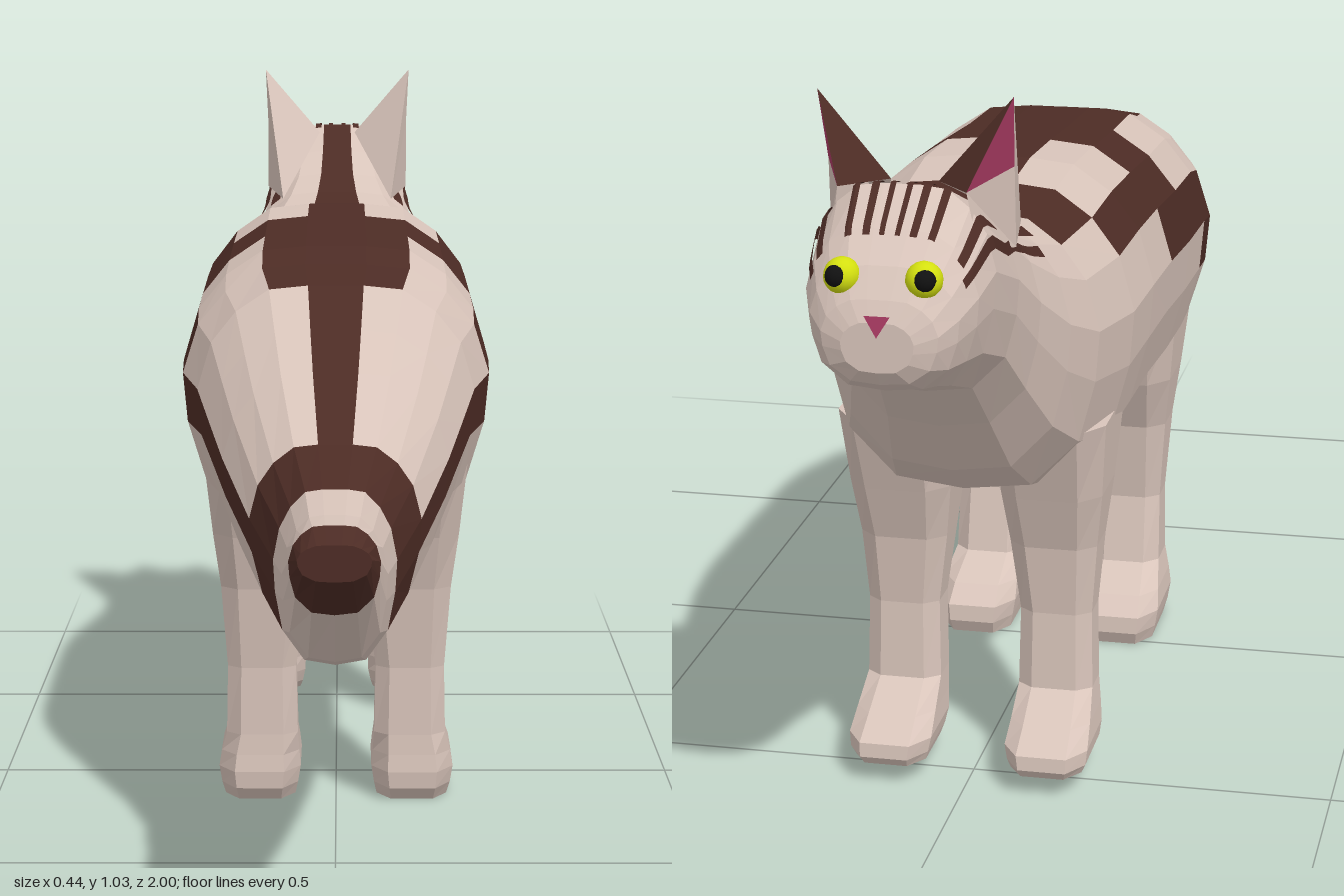
import * as THREE from 'three';

const mat = (color, side = THREE.FrontSide) =>
  new THREE.MeshStandardMaterial({ color, flatShading: true, side });
const FUR = mat(0xd8c4ba), BROWN = mat(0x4d2c25), PINK = mat(0xa83a62);
const STRIPE = mat(0x4d2c25, THREE.DoubleSide);
const YELLOW = new THREE.MeshStandardMaterial({ color: 0xd4e010 });
const BLACK = new THREE.MeshStandardMaterial({ color: 0x111111 });

// body stations from tail tip to muzzle: z, top, bottom, half width
const STATIONS = [
  [1.0, 0.535, 0.49, 0.045], [0.95, 0.55, 0.44, 0.056], [0.85, 0.545, 0.36, 0.066],
  [0.69, 0.55, 0.32, 0.08], [0.54, 0.585, 0.335, 0.115], [0.42, 0.665, 0.37, 0.155],
  [0.35, 0.715, 0.39, 0.175], [0.28, 0.77, 0.405, 0.195], [0.18, 0.79, 0.4, 0.22],
  [0.11, 0.81, 0.395, 0.222], [-0.03, 0.818, 0.4, 0.222], [-0.18, 0.83, 0.41, 0.22],
  [-0.32, 0.838, 0.41, 0.218], [-0.43, 0.83, 0.405, 0.21], [-0.55, 0.82, 0.435, 0.185],
  [-0.62, 0.835, 0.485, 0.16], [-0.69, 0.86, 0.57, 0.135], [-0.76, 0.895, 0.64, 0.122],
  [-0.86, 0.935, 0.675, 0.115], [-0.92, 0.895, 0.695, 0.107], [-0.96, 0.86, 0.705, 0.092],
  [-0.985, 0.825, 0.72, 0.072], [-0.997, 0.8, 0.738, 0.045],
];
// half cross-section from spine to belly, as fractions of width and height
const SECTION = [[0, 1], [0.2, 1], [0.48, 0.985], [0.72, 0.9], [0.9, 0.78],
  [1, 0.6], [0.97, 0.42], [0.85, 0.2], [0.5, 0.03], [0, 0]];
const COLS = SECTION.length - 1;

const place = ([z, top, bottom, w], [fx, fy]) => [fx * w, bottom + fy * (top - bottom), z];
const mix = (a, b, t) => a.map((v, i) => v + (b[i] - v) * t);

function mesh(name, points, material) {
  const g = new THREE.BufferGeometry();
  g.setAttribute('position', new THREE.Float32BufferAttribute(points.flat(), 3));
  g.computeVertexNormals();
  const m = new THREE.Mesh(g, material);
  m.name = name;
  return m;
}

// skins a row of rings with closed ends; pick(segment, column) chooses the target list
function loft(rings, pick) {
  const n = rings[0].length;
  for (let i = 0; i < rings.length - 1; i++) {
    for (let j = 0; j < n; j++) {
      const k = (j + 1) % n, [p, q] = [rings[i], rings[i + 1]];
      pick(i, j).push(p[j], p[k], q[k], p[j], q[k], q[j]);
    }
  }
  const cap = (ring, seg, flip) => {
    const c = [0, 1, 2].map(a => ring.reduce((s, p) => s + p[a], 0) / n);
    for (let j = 0; j < n; j++) {
      const k = (j + 1) % n;
      pick(seg, j).push(c, ring[flip ? k : j], ring[flip ? j : k]);
    }
  };
  cap(rings[0], 0, true);
  cap(rings.at(-1), rings.length - 2, false);
}

// which columns of the coat are brown at a given z
function isBrown(z, col) {
  const within = (hi, lo) => z < hi && z > lo;
  if (z > 0.95 || within(0.69, 0.54)) return true;
  switch (col) {
    case 0: return within(0.54, -0.86);
    case 1: return within(0.28, -0.18) || within(-0.43, -0.55);
    case 2: return within(-0.03, -0.18) || within(-0.43, -0.55);
    case 3: return within(-0.03, -0.43);
    case 4: return within(0.18, -0.18);
    case 5: return within(0.54, 0.11);
    default: return false;
  }
}

function makeBody() {
  const rings = STATIONS.map(s => {
    const half = SECTION.map(f => place(s, f));
    return [...half, ...half.slice(1, -1).reverse().map(([x, y, z]) => [-x, y, z])];
  });
  const fur = [], brown = [];
  loft(rings, (i, j) => {
    const z = (STATIONS[i][0] + STATIONS[i + 1][0]) / 2;
    return isBrown(z, j < COLS ? j : 2 * COLS - 1 - j) ? brown : fur;
  });
  return [mesh('bodyFur', fur, FUR), mesh('bodyMarkings', brown, BROWN)];
}

// point just above the coat at z and section column u
function onCoat(z, u, side) {
  let i = 0;
  while (i < STATIONS.length - 2 && STATIONS[i + 1][0] > z) i++;
  const [a, b] = [STATIONS[i], STATIONS[i + 1]];
  const s = mix(a, b, (z - a[0]) / (b[0] - a[0]));
  const c = Math.min(Math.floor(u), COLS - 1);
  const [x, y] = place(s, mix(SECTION[c], SECTION[c + 1], u - c));
  const mid = (s[1] + s[2]) / 2;
  return [side * x * 1.035, mid + (y - mid) * 1.035, z];
}

// thin face stripe following [z, u] points
function stripe(path, width, side) {
  const pts = [], steps = 8;
  for (let i = 0; i < path.length - 1; i++) {
    for (let k = 0; k < steps; k++) {
      const p = mix(path[i], path[i + 1], k / steps), q = mix(path[i], path[i + 1], (k + 1) / steps);
      for (const [lo, hi] of [[-width, 0], [0, width]]) {
        const [a, b, c, d] = [[p, lo], [p, hi], [q, hi], [q, lo]]
          .map(([[z, u], o]) => onCoat(z, Math.max(0, u + o), side));
        pts.push(a, b, c, a, c, d);
      }
    }
  }
  return mesh('faceStripe', pts, STRIPE);
}

// leg rings from hip to sole: y, back z, front z, inner x, outer x
const HIND_LEG = [
  [0.52, 0.27, 0.0, 0.03, 0.19], [0.4, 0.22, 0.04, 0.03, 0.178], [0.32, 0.197, 0.078, 0.042, 0.167],
  [0.2, 0.18, 0.095, 0.058, 0.158], [0.1, 0.18, 0.075, 0.056, 0.16], [0.07, 0.182, 0.01, 0.054, 0.168],
  [0.045, 0.185, -0.02, 0.052, 0.172], [0.02, 0.182, -0.022, 0.056, 0.168], [0, 0.165, -0.012, 0.06, 0.163],
];
const FRONT_LEG = [
  [0.52, -0.31, -0.55, 0.03, 0.185], [0.41, -0.35, -0.51, 0.035, 0.176], [0.33, -0.372, -0.482, 0.045, 0.166],
  [0.23, -0.388, -0.47, 0.058, 0.158], [0.12, -0.392, -0.475, 0.056, 0.16], [0.085, -0.392, -0.53, 0.054, 0.165],
  [0.06, -0.392, -0.574, 0.052, 0.168], [0.04, -0.4, -0.576, 0.056, 0.166], [0.027, -0.42, -0.566, 0.06, 0.16],
];

function makeLeg(name, rows, side) {
  const corner = [[1, -0.6], [1, 0.6], [0.6, 1], [-0.6, 1], [-1, 0.6], [-1, -0.6], [-0.6, -1], [0.6, -1]];
  const rings = rows.map(([y, zb, zf, xi, xo]) => corner.map(([cx, cz]) =>
    [side * (xi + xo) / 2 + cx * (xo - xi) / 2, y, (zb + zf) / 2 + cz * (zb - zf) / 2]));
  const pts = [];
  loft(rings, () => pts);
  return mesh(name, pts, FUR);
}

// tall ear sweeping back to the neck, pink outside and brown inside
function makeEar(side) {
  const tip = [0.123, 1.033, -0.795], back = [0.09, 0.825, -0.6], inner = [0.03, 0.925, -0.8];
  const front = [0.08, 0.93, -0.868], outer = [0.118, 0.94, -0.768], low = [0.118, 0.835, -0.76];
  const cheek = [0.095, 0.86, -0.87];
  const build = (name, tris, m) => mesh(name, tris.flatMap(([a, b, c]) =>
    (side > 0 ? [a, b, c] : [a, c, b]).map(([x, y, z]) => [side * x, y, z])), m);
  const g = new THREE.Group();
  g.name = side > 0 ? 'leftEar' : 'rightEar';
  g.add(
    build('earFur', [[tip, back, inner], [tip, outer, back], [outer, low, back],
      [outer, front, low], [front, cheek, low]], new THREE.MeshStandardMaterial(
      { color: 0xd8c4ba, flatShading: true, side: THREE.DoubleSide })),
    build('earInside', [[tip, front, outer]], mat(0xa83a62, THREE.DoubleSide)),
    build('earMarking', [[tip, inner, front]], STRIPE));
  return g;
}

function makeEye(side) {
  const g = new THREE.Group();
  g.name = side > 0 ? 'leftEye' : 'rightEye';
  const ball = new THREE.Mesh(new THREE.SphereGeometry(0.023, 16, 12), YELLOW);
  ball.name = 'eyeball';
  const pupil = new THREE.Mesh(new THREE.SphereGeometry(0.014, 12, 10), BLACK);
  pupil.name = 'pupil';
  pupil.position.set(side * 0.004, 0.003, -0.013);
  g.add(ball, pupil);
  g.position.set(side * 0.05, 0.846, -0.962);
  return g;
}

export function createModel() {
  const cat = new THREE.Group();
  cat.name = 'cat';
  cat.add(...makeBody());
  for (const side of [1, -1]) {
    const label = side > 0 ? 'left' : 'right';
    cat.add(makeLeg(label + 'HindLeg', HIND_LEG, side), makeLeg(label + 'FrontLeg', FRONT_LEG, side));
    cat.add(makeEar(side), makeEye(side));
    // cheek stripes
    cat.add(stripe([[-0.62, 2.6], [-0.8, 3.5], [-0.93, 3.5]], 0.2, side));
    cat.add(stripe([[-0.64, 3.4], [-0.8, 4.3], [-0.94, 4.1]], 0.17, side));
    // forehead stripes
    for (const u of [0.45, 1.25, 2]) cat.add(stripe([[-0.84, u], [-0.93, u]], 0.15, side));
  }
  // nose
  cat.add(mesh('nose', [[-0.016, 0.808, -0.996], [0.016, 0.808, -0.996], [0, 0.782, -1]], PINK));
  return cat;
}
